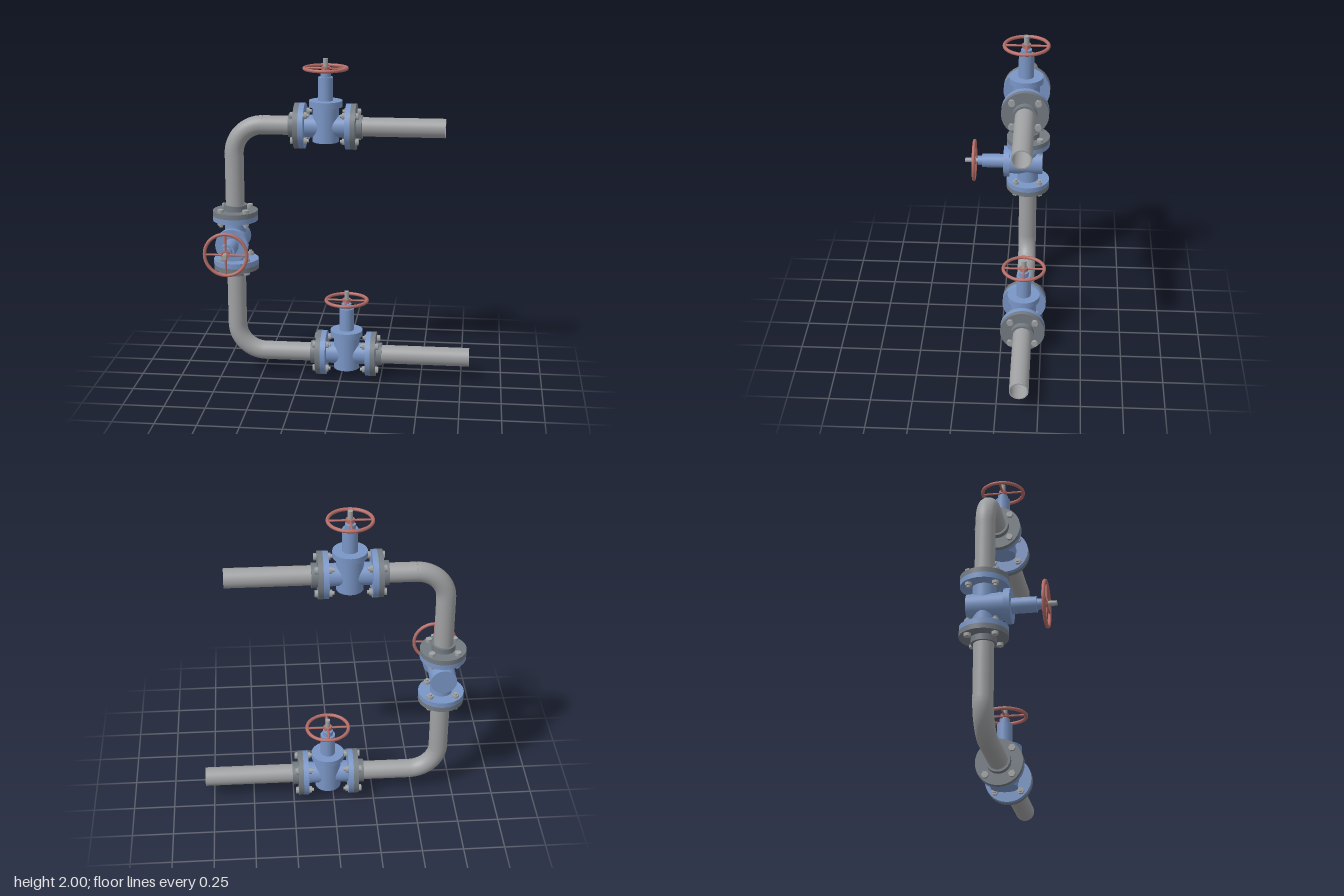
import * as THREE from 'three';

const mat = (name, color, side = THREE.FrontSide) => {
  const m = new THREE.MeshStandardMaterial({ color, side });
  m.name = name;
  return m;
};

export function createModel() {
  const pipeGrey = mat('pipe grey', 0xa0a1a3, THREE.DoubleSide);
  const flangeGrey = mat('flange grey', 0x737b82);
  const valveBlue = mat('valve blue', 0x7a96c6);
  const wheelRed = mat('wheel red', 0xb56c66);
  const boltGrey = mat('bolt grey', 0xa0a3a5);

  const Z = -0.136, LOW = 0.14, HIGH = 1.592, LEFT = -0.66, BEND = 0.18, R = 0.058;
  const model = new THREE.Group();
  model.name = 'pipework';

  const add = (parent, name, geo, material) => {
    const mesh = new THREE.Mesh(geo, material);
    mesh.name = name;
    parent.add(mesh);
    return mesh;
  };
  // Cylinder along y (or x) between two offsets
  const rod = (parent, name, r, a, b, material, alongX = false, sides = 40) => {
    const geo = new THREE.CylinderGeometry(r, r, b - a, sides).translate(0, (a + b) / 2, 0);
    if (alongX) geo.rotateZ(-Math.PI / 2);
    return add(parent, name, geo, material);
  };

  // Pipe run: straight lengths joined by quarter bends
  const v = (x, y) => new THREE.Vector3(x, y, Z);
  const straight = (a, b) => new THREE.LineCurve3(a, b);
  const quarter = (cx, cy, start) => {
    const pts = [];
    for (let i = 0; i <= 16; i++) {
      const t = start + (i / 16) * Math.PI / 2;
      pts.push(v(cx + BEND * Math.cos(t), cy + BEND * Math.sin(t)));
    }
    return new THREE.CatmullRomCurve3(pts);
  };
  const bx = LEFT + BEND;
  const runs = [
    ['upperPipe', straight(v(0.625, HIGH), v(bx, HIGH)), 1],
    ['upperElbow', quarter(bx, HIGH - BEND, Math.PI / 2), 24],
    ['verticalPipe', straight(v(LEFT, HIGH - BEND), v(LEFT, LOW + BEND)), 1],
    ['lowerElbow', quarter(bx, LOW + BEND, Math.PI), 24],
    ['lowerPipe', straight(v(bx, LOW), v(0.8, LOW)), 1],
  ];
  for (const [name, curve, steps] of runs) {
    add(model, name, new THREE.TubeGeometry(curve, steps, R, 40), pipeGrey);
    add(model, name + 'Bore', new THREE.TubeGeometry(curve, steps, 0.051, 40), pipeGrey);
  }
  // Rims of the open pipe ends
  for (const [x, y] of [[0.625, HIGH], [0.8, LOW]]) {
    add(model, 'pipeRim', new THREE.RingGeometry(0.051, R, 40).rotateY(Math.PI / 2), pipeGrey).position.set(x, y, Z);
  }

  // Gate valve: pipe axis along x, stem along +y
  const makeValve = (name) => {
    const g = new THREE.Group();
    g.name = name;
    rod(g, 'barrel', 0.067, -0.13, 0.13, valveBlue, true);
    rod(g, 'body', 0.08, -0.094, 0.12, valveBlue);
    rod(g, 'bonnetFlange', 0.101, 0.12, 0.157, valveBlue);
    rod(g, 'bonnet', 0.045, 0.157, 0.298, valveBlue);
    rod(g, 'gland', 0.031, 0.298, 0.328, valveBlue);
    rod(g, 'stem', 0.015, 0.328, 0.409, boltGrey, false, 20);

    // Handwheel with four spokes
    const wheel = new THREE.Group();
    wheel.name = 'handwheel';
    wheel.position.y = 0.35;
    add(wheel, 'rim', new THREE.TorusGeometry(0.128, 0.0105, 12, 56).rotateX(Math.PI / 2), wheelRed);
    rod(wheel, 'hub', 0.026, -0.01, 0.01, wheelRed, false, 24);
    for (let i = 0; i < 4; i++) {
      rod(wheel, 'spoke', 0.0065, 0.02, 0.128, wheelRed, true, 10).rotation.y = i * Math.PI / 2;
    }
    g.add(wheel);

    // Paired flanges and their bolts at both ends
    for (const turn of [0, Math.PI]) {
      const end = new THREE.Group();
      end.name = 'flangeJoint';
      end.rotation.y = turn;
      rod(end, 'valveFlange', 0.139, 0.124, 0.156, valveBlue, true, 48);
      rod(end, 'pipeFlange', 0.139, 0.156, 0.187, flangeGrey, true, 48);
      rod(end, 'pipeCollar', 0.072, 0.187, 0.223, flangeGrey, true);
      rod(end, 'pipePlug', 0.0515, 0.2, 0.228, pipeGrey, true);
      for (let i = 0; i < 4; i++) {
        const bolt = new THREE.Group();
        bolt.name = 'bolt';
        const a = Math.PI / 4 + i * Math.PI / 2;
        bolt.position.set(0, 0.109 * Math.sin(a), 0.109 * Math.cos(a));
        rod(bolt, 'head', 0.021, 0.187, 0.206, boltGrey, true, 6);
        rod(bolt, 'nut', 0.021, 0.106, 0.124, boltGrey, true, 6);
        rod(bolt, 'tip', 0.011, 0.094, 0.106, boltGrey, true, 12);
        end.add(bolt);
      }
      g.add(end);
    }
    model.add(g);
    return g;
  };

  makeValve('upperValve').position.set(-0.097, HIGH, Z);
  makeValve('lowerValve').position.set(0.031, LOW, Z);
  // Valve on the vertical run, its stem facing forward
  const side = makeValve('verticalValve');
  side.quaternion.setFromRotationMatrix(new THREE.Matrix4().makeBasis(
    new THREE.Vector3(0, 1, 0), new THREE.Vector3(0, 0, 1), new THREE.Vector3(1, 0, 0)));
  side.position.set(LEFT, 0.868, Z);

  return model;
}
